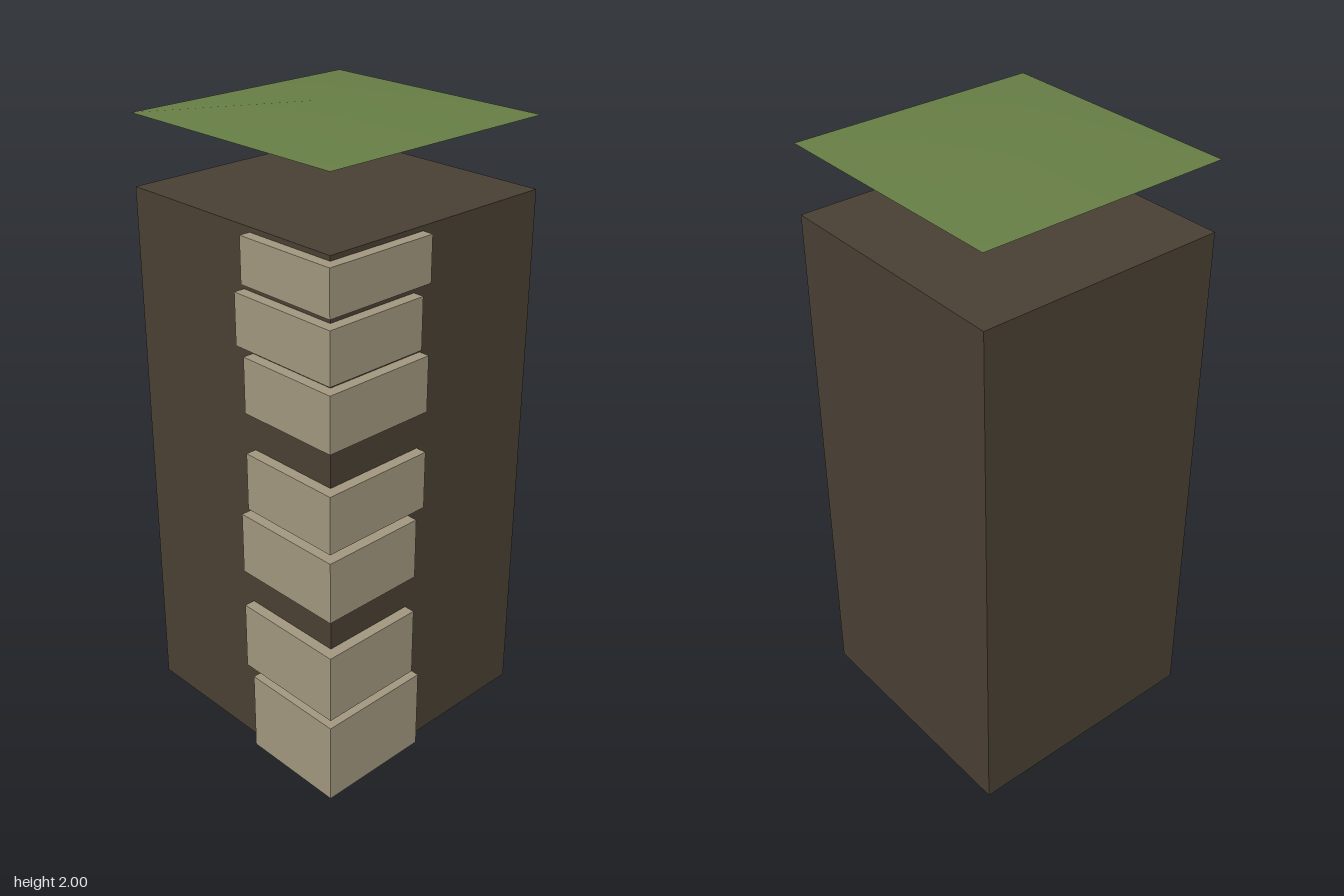
import * as THREE from 'three';

const mat = (name, color, extra = {}) => {
  const m = new THREE.MeshStandardMaterial({ color, ...extra });
  m.name = name;
  return m;
};

const LO = -0.43, HI = 0.395, OUT = 0.43; // wall faces and outer stone face

export function createModel() {
  const group = new THREE.Group();
  const wall = mat('dark brown wall', 0x4a4034);
  const stone = mat('tan stone', 0xa39880);
  const green = mat('green roof', 0x677e45, { side: THREE.DoubleSide });

  const add = (name, geometry, material) => {
    const mesh = new THREE.Mesh(geometry, material);
    mesh.name = name;
    group.add(mesh);
    return mesh;
  };

  // Tower body
  const size = HI - LO, mid = (HI + LO) / 2;
  add('towerBody', new THREE.BoxGeometry(size, 1.74, size), wall).position.set(mid, 0.87, mid);

  // Corner stones: L-shaped blocks wrapped round the front left corner
  // [bottom, top, whether the long arm lies on the front]
  const stones = [
    [0, 0.27, false], [0.3, 0.525, true], [0.65, 0.85, true], [0.88, 1.065, false],
    [1.195, 1.37, false], [1.395, 1.555, true], [1.585, 1.725, false],
  ];
  stones.forEach(([y0, y1, longFront], i) => {
    const x0 = longFront ? 0.05 : 0.08, z0 = longFront ? 0.08 : 0.05;
    const plan = [[x0, OUT], [OUT, OUT], [OUT, z0], [HI, z0], [HI, HI], [x0, HI]];
    const shape = new THREE.Shape(plan.map(([x, z]) => new THREE.Vector2(x, -z)));
    const geo = new THREE.ExtrudeGeometry(shape, { depth: y1 - y0, bevelEnabled: false });
    geo.rotateX(-Math.PI / 2).translate(0, y0, 0);
    add(`cornerStone${i + 1}`, geo, stone);
  });

  // Thin, shallow roof sheet floating above the body, with an off-centre peak
  const roof = new THREE.BufferGeometry();
  roof.setAttribute('position', new THREE.Float32BufferAttribute([
    LO, 1.957, HI, HI, 1.957, HI, HI, 1.957, LO, LO, 1.957, LO, -0.04, 2, 0.04,
  ], 3));
  roof.setIndex([0, 1, 4, 1, 2, 4, 2, 3, 4, 3, 0, 4]);
  roof.computeVertexNormals();
  add('roofSheet', roof, green);

  return group;
}
